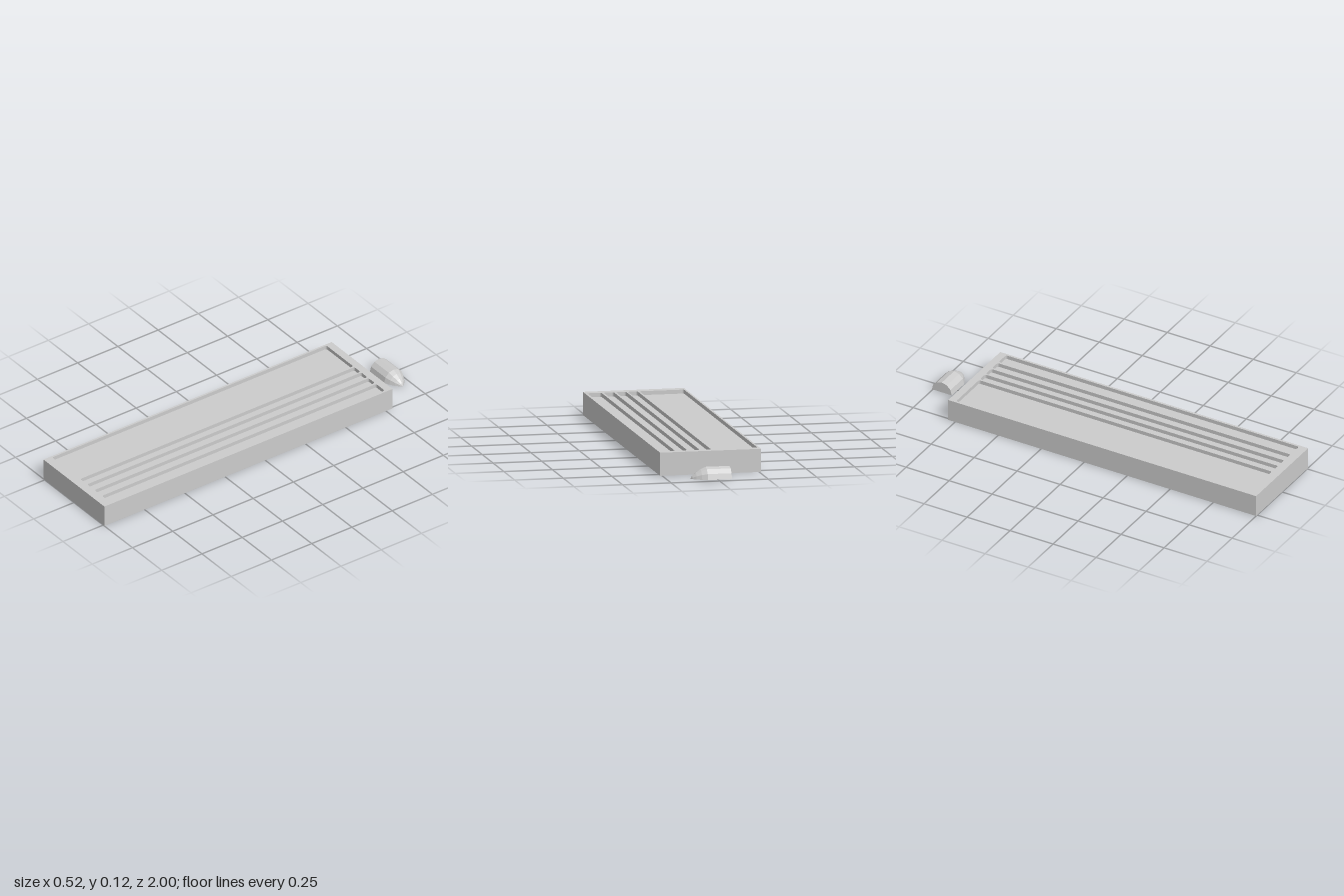
import * as THREE from 'three';

const material = new THREE.MeshStandardMaterial({ color: 0xcccccc, flatShading: true });

function addMesh(parent, name, geometry) {
  const mesh = new THREE.Mesh(geometry, material);
  mesh.name = name;
  parent.add(mesh);
  return mesh;
}

// Rectangle with softly rounded corners, used for each pocket
function roundedRect(x0, x1, y0, y1, r) {
  const p = new THREE.Path();
  p.moveTo(x0 + r, y0);
  p.absarc(x1 - r, y0 + r, r, -Math.PI / 2, 0);
  p.absarc(x1 - r, y1 - r, r, 0, Math.PI / 2);
  p.absarc(x0 + r, y1 - r, r, Math.PI / 2, Math.PI);
  p.absarc(x0 + r, y0 + r, r, Math.PI, Math.PI * 1.5);
  return p;
}

function createTray() {
  const tray = new THREE.Group();
  tray.name = 'tray';
  const halfW = 0.26, zBack = -0.79, zFront = 1, height = 0.118, floor = 0.098;

  // Solid slab below the pocket floors
  const slab = new THREE.BoxGeometry(halfW * 2, floor, zFront - zBack);
  slab.translate(0, floor / 2, (zFront + zBack) / 2);
  addMesh(tray, 'traySlab', slab);

  // Rim and dividers: one plate pierced by the pockets (shape y runs along -z)
  const plate = new THREE.Shape([
    new THREE.Vector2(-halfW, -zFront), new THREE.Vector2(halfW, -zFront),
    new THREE.Vector2(halfW, -zBack), new THREE.Vector2(-halfW, -zBack),
  ]);
  const pockets = [[-0.25, -0.021], [-0.011, 0.04], [0.048, 0.1], [0.111, 0.164], [0.175, 0.248]];
  for (const [x0, x1] of pockets) plate.holes.push(roundedRect(x0, x1, -0.953, 0.75, 0.01));
  const rim = new THREE.ExtrudeGeometry(plate, { depth: height - floor, bevelEnabled: false, curveSegments: 4 });
  rim.rotateX(-Math.PI / 2).translate(0, floor, 0);
  addMesh(tray, 'trayRim', rim);
  return tray;
}

// Half-round slider with a pointed nose, lying flat along x
function createSlider() {
  const slider = new THREE.Group();
  slider.name = 'slider';
  const profile = [[0, -0.063], [0.058, -0.063], [0.058, 0.06], [0.046, 0.087], [0.03, 0.112], [0.014, 0.13], [0, 0.138]]
    .map(([r, a]) => new THREE.Vector2(r, a));
  const body = new THREE.LatheGeometry(profile, 6, Math.PI, Math.PI);
  body.rotateZ(-Math.PI / 2);
  addMesh(slider, 'sliderBody', body);

  // Flat underside with the same outline
  const outline = [
    ...profile.map((p) => new THREE.Vector2(p.y, -p.x)),
    ...profile.slice(1, -1).reverse().map((p) => new THREE.Vector2(p.y, p.x)),
  ];
  const underside = new THREE.ShapeGeometry(new THREE.Shape(outline));
  underside.rotateX(Math.PI / 2);
  addMesh(slider, 'sliderUnderside', underside);

  slider.position.set(0, 0.007, -0.942);
  return slider;
}

export function createModel() {
  const model = new THREE.Group();
  model.name = 'trayWithSlider';
  model.add(createTray(), createSlider());
  return model;
}
